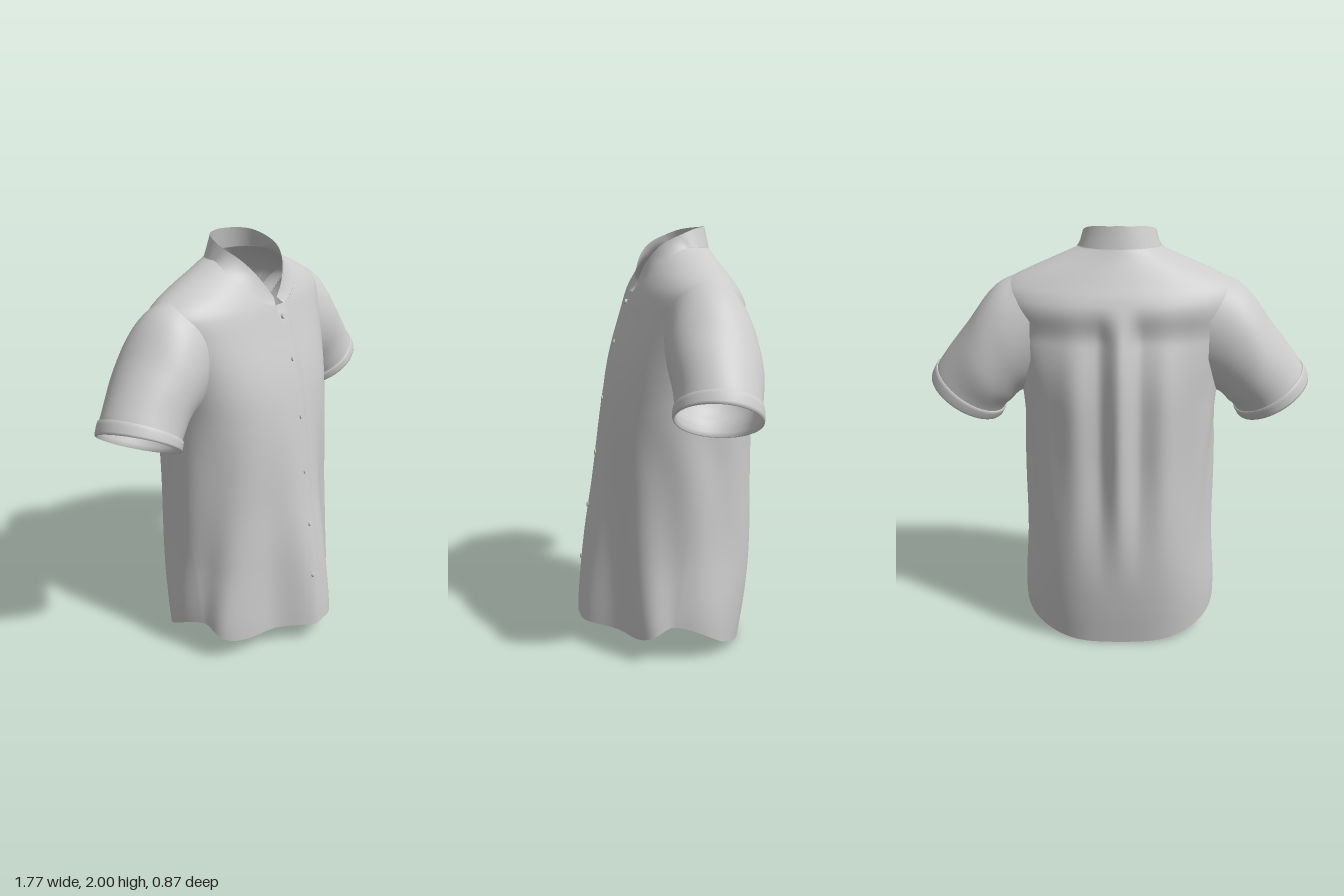
import * as THREE from 'three';

const cloth = new THREE.MeshStandardMaterial({ color: 0xcccccc, side: THREE.DoubleSide });
const { abs, sin, cos, exp, PI, pow, min } = Math;
const lerp = THREE.MathUtils.lerp, smooth = THREE.MathUtils.smoothstep;

// Smooth interpolation through rows of [key, value, value, ...]
function sample(table, key) {
  const n = table.length - 1;
  const k = THREE.MathUtils.clamp(key, table[0][0], table[n][0]);
  let i = 0;
  while (i < n - 1 && k > table[i + 1][0]) i++;
  const a = table[i], b = table[i + 1], p = table[i - 1] || a, q = table[i + 2] || b;
  const h = b[0] - a[0], t = (k - a[0]) / h;
  return a.slice(1).map((v, j) => {
    j += 1;
    const m0 = (b[j] - p[j]) / (b[0] - p[0]) * h, m1 = (q[j] - a[j]) / (q[0] - a[0]) * h;
    const t2 = t * t, t3 = t2 * t;
    return (2 * t3 - 3 * t2 + 1) * v + (t3 - 2 * t2 + t) * m0 + (3 * t2 - 2 * t3) * b[j] + (t3 - t2) * m1;
  });
}

// Skin a grid of points; closed grids wrap around, skip() leaves holes
function skin(name, rows, cols, closed, point, skip = () => false) {
  const pos = [], index = [], stride = closed ? cols : cols + 1;
  for (let r = 0; r <= rows; r++)
    for (let c = 0; c < stride; c++) pos.push(...point(c / cols, r / rows));
  for (let r = 0; r < rows; r++) for (let c = 0; c < cols; c++) {
    const a = r * stride + c, b = r * stride + (c + 1) % stride, d = a + stride, e = b + stride;
    if (!skip(pos[3 * a], pos[3 * a + 1], pos[3 * a + 2])) index.push(a, b, e, a, e, d);
  }
  const g = new THREE.BufferGeometry();
  g.setAttribute('position', new THREE.Float32BufferAttribute(pos, 3));
  g.setIndex(index);
  g.computeVertexNormals();
  const mesh = new THREE.Mesh(g, cloth);
  mesh.name = name;
  return mesh;
}

// Torso slices: height, half width, front z, back z, side z, squareness
const torso = [
  [0.0, 0.465, 0.43, -0.355, 0.03, 2.6],
  [0.2, 0.472, 0.42, -0.385, 0.03, 2.6],
  [0.5, 0.45, 0.385, -0.415, -0.01, 2.6],
  [0.8, 0.45, 0.335, -0.43, -0.05, 2.5],
  [1.2, 0.455, 0.28, -0.435, -0.08, 2.5],
  [1.4, 0.48, 0.24, -0.42, -0.09, 2.5],
  [1.6, 0.53, 0.18, -0.375, -0.1, 2.3],
  [1.7, 0.55, 0.15, -0.335, -0.1, 2.1],
  [1.75, 0.515, 0.13, -0.305, -0.1, 2],
  [1.8, 0.42, 0.105, -0.275, -0.1, 2],
  [1.86, 0.28, 0.07, -0.24, -0.09, 2],
  [1.9, 0.186, 0.05, -0.22, -0.08, 2],
];
// Neck seam, collar edge and hem heights by angle from the front
const neckLine = [[0, 1.685], [0.2, 1.725], [0.45, 1.79], [0.8, 1.855], [1.57, 1.9], [PI, 1.9]];
const collarLine = [[0, 1.715], [0.3, 1.775], [0.7, 1.855], [1.1, 1.915], [1.57, 1.955], [2.2, 1.99], [PI, 2]];
const hemLine = [[0, 0.105], [0.8, 0.105], [1.05, 0.125], [1.45, 0.18], [1.75, 0.16], [2.2, 0.06], [2.65, 0.01], [PI, 0]];

// Draped ridge down the front, tented pleat and soft folds down the back
function frontRidge(x, y) {
  const centre = 0.03 * (1 - smooth(y, 0, 0.8));
  return 0.15 * (1 - smooth(y, 0, 1.35)) * exp(-pow(abs(x - centre) / 0.165, 3));
}
function backFolds(x, y) {
  const pleat = 0.06 * (1 - smooth(abs(x), 0.0, 0.1)) * smooth(y, 0.25, 1) * (1 - smooth(y, 1.5, 1.68));
  const side = 0.035 * exp(-pow((abs(x) - 0.2) / 0.08, 2)) * smooth(y, 0.2, 1) * (1 - smooth(y, 1.2, 1.75));
  return pleat + side;
}
function frontZ(x, y) {
  const [w, zf, , zs, n] = sample(torso, y);
  const base = zf - frontRidge(0, y);
  return zs + (base - zs) * pow(1 - pow(min(1, abs(x) / w), n), 1 / n) + frontRidge(x, y);
}
function torsoPoint(a, y) {
  const [w, zf, zb, zs, n] = sample(torso, y);
  const s = sin(a), c = cos(a), r = pow(pow(abs(s), n) + pow(abs(c), n), -1 / n);
  const drape = 1 + 0.026 * sin(7 * abs(a) + 4 * y) * s * s * (1 - smooth(y, 0.9, 1.3));
  const x = w * s * r;
  let z;
  if (c > 0) z = zs + (zf - frontRidge(0, y) - zs) * c * r * drape + frontRidge(x, y) * min(1, c * 2);
  else z = zs + (zs - zb - backFolds(0, y)) * c * r * drape - backFolds(x, y) * min(1, -c * 2);
  return [x * drape, y, z];
}

// Sleeve slices: position, top x, top y, bottom x, bottom y, z centre, z half width
const sleeve = [
  [0, 0.4, 1.8, 0.4, 1.25, -0.1, 0.185],
  [0.25, 0.565, 1.725, 0.47, 1.225, -0.1, 0.2],
  [0.55, 0.71, 1.55, 0.515, 1.185, -0.1, 0.2],
  [0.85, 0.84, 1.375, 0.545, 1.15, -0.085, 0.185],
  [1, 0.882, 1.3, 0.572, 1.105, -0.075, 0.183],
];
function sleevePoint(side, u, t, scale) {
  const [tx, ty, bx, by, zc, hz] = sample(sleeve, t);
  const f = u * 2 * PI, k = cos(f) * scale, tilt = 0.03 * t * sin(f);
  const pinch = 1 + 0.012 * sin(3 * f + 9 * t) * sin(PI * t);
  return [
    side * ((tx + bx) / 2 + (tx - bx) / 2 * k * pinch - tilt * 0.5),
    (ty + by) / 2 + (ty - by) / 2 * k * pinch + tilt,
    zc + hz * sin(f) * scale * pinch,
  ];
}

export function createModel() {
  const shirt = new THREE.Group();
  shirt.name = 'shirt';

  // Body with open armholes
  shirt.add(skin('body', 90, 220, true, (u, v) => {
    const a = (u - 0.5) * 2 * PI, t = 1 - pow(1 - v, 1.5);
    return torsoPoint(a, lerp(sample(hemLine, abs(a))[0], sample(neckLine, abs(a))[0], t));
  }, (x, y, z) => abs(x) > 0.41 && pow((y - 1.5) / 0.22, 2) + pow((z + 0.1) / 0.145, 2) < 1));

  // Stand collar, parted at the front
  shirt.add(skin('collar', 8, 120, false, (u, v) => {
    const around = lerp(0.06, 2 * PI - 0.06, u), a = around > PI ? around - 2 * PI : around;
    const p = torsoPoint(a, sample(neckLine, abs(a))[0]);
    const top = [0.17 * sin(a), sample(collarLine, abs(a))[0], -0.037 + 0.163 * cos(a)];
    return p.map((value, i) => lerp(value, top[i], v));
  }));

  // Overlapping front bands, outer and inner
  const seamX = y => lerp(-0.087, -0.028, y / 1.7);
  for (const [name, offset] of [['frontBand', 0.01], ['innerFrontBand', -0.012]]) {
    shirt.add(skin(name, 60, 10, false, (u, v) => {
      const y = lerp(0.105, 1.7, v), x = seamX(y) + u * 0.1;
      const lift = offset > 0 ? 1 - smooth(u, 0.4, 1) : smooth(u, 0, 0.4);
      return [x, y, frontZ(x, y) + offset * lift * (1 - smooth(y, 1.62, 1.7))];
    }));
  }

  // Buttons
  const buttons = [[-0.008, 1.65], [-0.01, 1.46], [-0.017, 1.19], [-0.026, 0.92], [-0.035, 0.655], [-0.045, 0.385]];
  for (const [x, y] of buttons) {
    const button = new THREE.Mesh(new THREE.CylinderGeometry(0.011, 0.014, 0.012, 16), cloth);
    button.name = 'button';
    button.position.set(x, y, frontZ(x, y) + 0.01);
    button.rotation.x = PI / 2 - Math.atan2(frontZ(x, y - 0.05) - frontZ(x, y + 0.05), 0.1);
    shirt.add(button);
  }

  // Sleeves with turned-up cuffs
  const cuff = [[0.89, 1], [0.89, 1.035], [0.92, 1.045], [0.98, 1.045], [1, 1.03], [1, 0.985], [0.95, 0.97], [0.89, 0.97]];
  for (const side of [1, -1]) {
    const prefix = side > 0 ? 'left' : 'right';
    shirt.add(skin(prefix + 'Sleeve', 36, 64, true, (u, v) => sleevePoint(side, side * u, v * 0.97, 1)));
    shirt.add(skin(prefix + 'Cuff', cuff.length - 1, 64, true, (u, v) => {
      const [t, scale] = cuff[Math.round(v * (cuff.length - 1))];
      return sleevePoint(side, side * u, t, scale);
    }));
  }
  return shirt;
}
